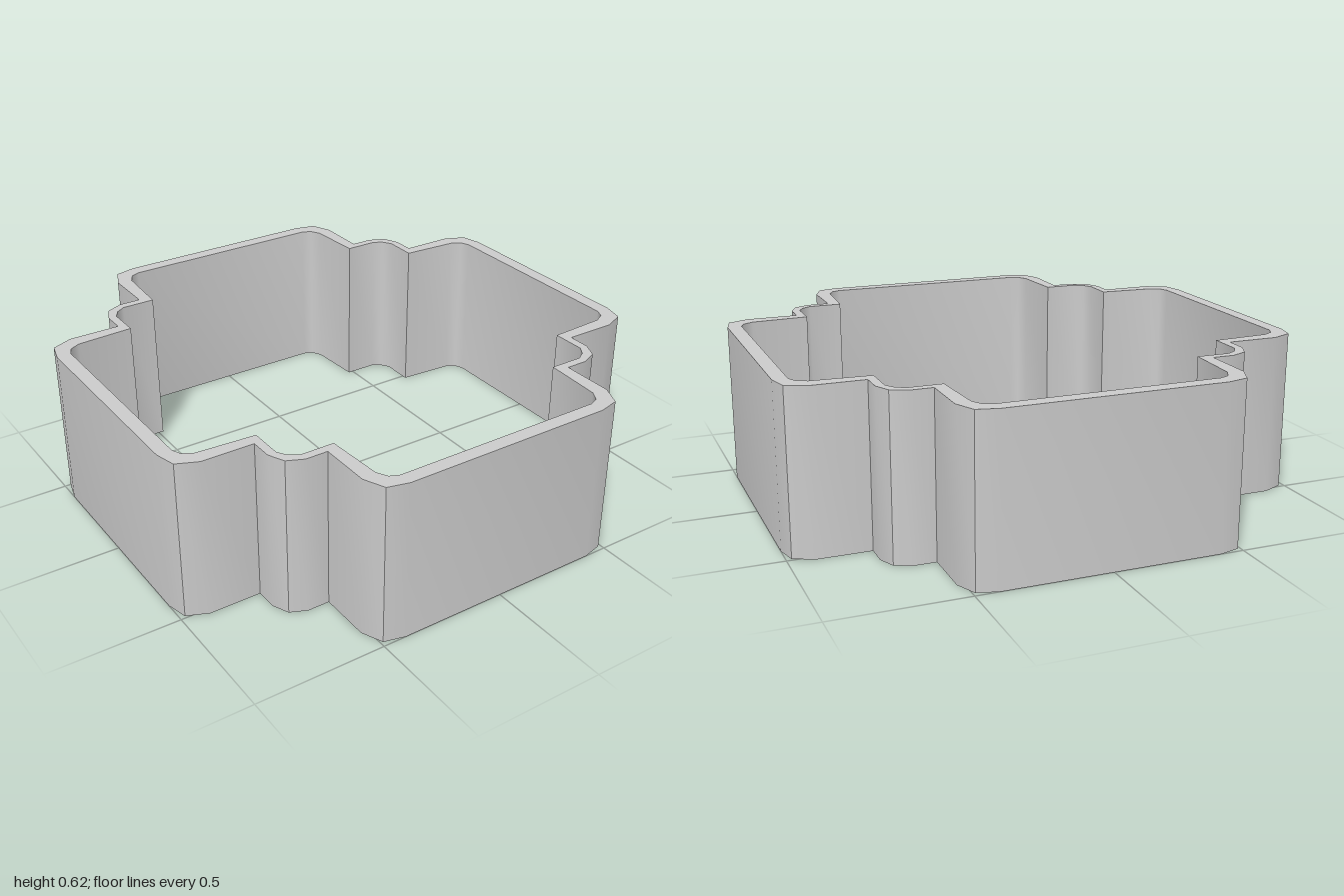
import * as THREE from 'three';
import { toCreasedNormals } from 'three/addons/utils/BufferGeometryUtils.js';

const HEIGHT = 0.62;

// Mirror half a corner across the diagonal, then turn it through four quadrants.
function outline(half) {
  const corner = [...half, ...half.slice().reverse().map(([x, y]) => [y, x])];
  const points = [];
  for (let q = 0; q < 4; q++) {
    for (const [x, y] of corner) {
      points.push(new THREE.Vector2(x, y).rotateAround(new THREE.Vector2(), q * Math.PI / 2));
    }
  }
  return points;
}

export function createModel() {
  const group = new THREE.Group();
  group.name = 'crossShapedRing';

  // Half corners: chamfered arm, step, then the small rounded lobe
  const outer = outline([[1, 0.41], [0.98, 0.49], [0.9, 0.525], [0.7, 0.525], [0.7, 0.61], [0.672, 0.672]]);
  const inner = outline([[0.945, 0.41], [0.93, 0.445], [0.89, 0.467], [0.667, 0.48], [0.667, 0.61], [0.645, 0.645]]);

  // Wall with a matching cut-out through it
  const shape = new THREE.Shape(outer);
  shape.holes.push(new THREE.Path(inner));
  const extruded = new THREE.ExtrudeGeometry(shape, { depth: HEIGHT, bevelEnabled: false });
  extruded.rotateX(-Math.PI / 2);

  const wall = new THREE.Mesh(
    toCreasedNormals(extruded, THREE.MathUtils.degToRad(40)),
    new THREE.MeshStandardMaterial({ color: 0xcccccc })
  );
  wall.name = 'wall';
  group.add(wall);
  return group;
}
